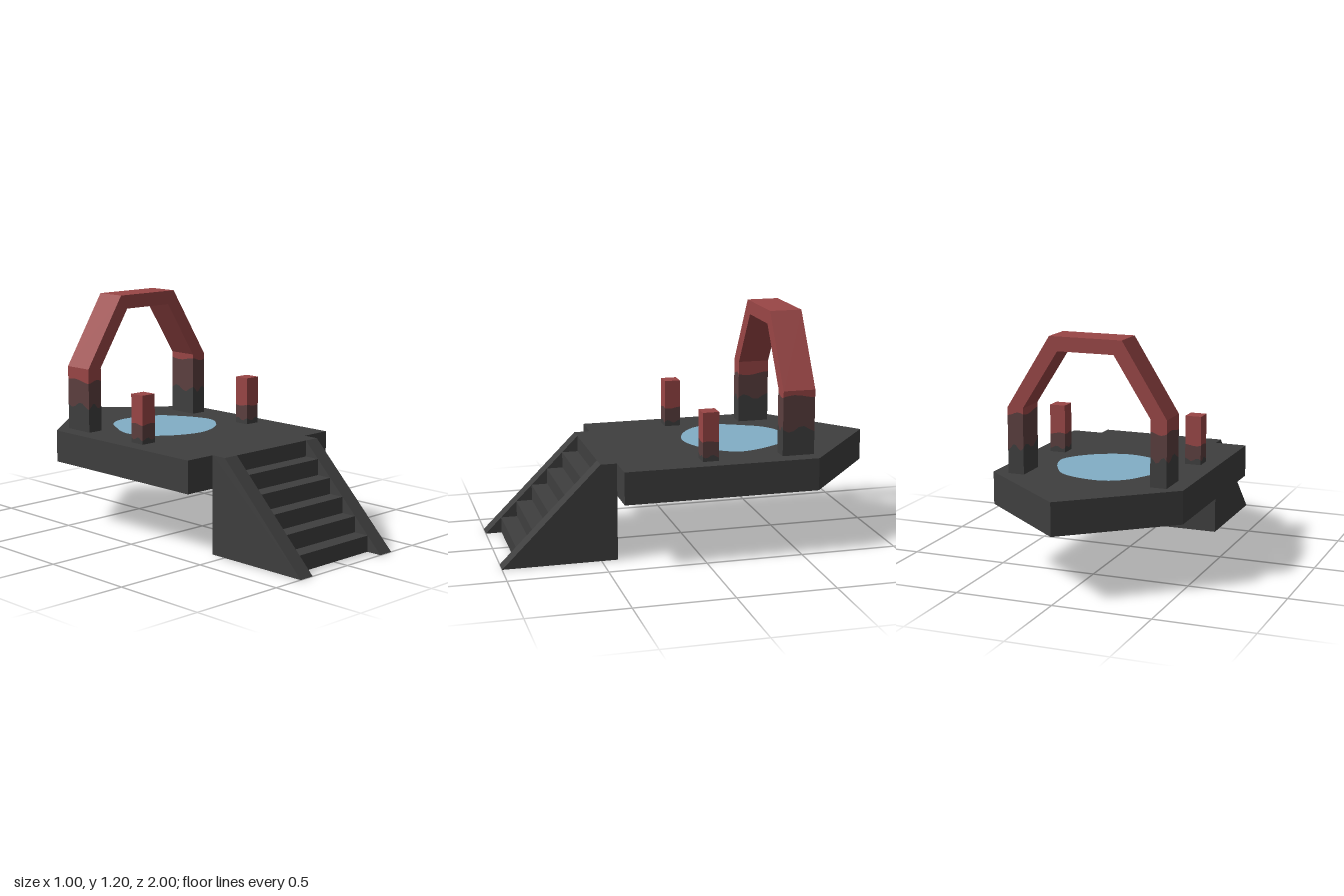
import * as THREE from 'three';

const mat = (name, color) => {
  const m = new THREE.MeshStandardMaterial({ color, side: THREE.DoubleSide });
  m.name = name;
  return m;
};

// Flat-shaded geometry from a list of quads (each four [x, y, z] corners)
function quads(list) {
  const p = [];
  for (const [a, b, c, d] of list) p.push(...a, ...b, ...c, ...a, ...c, ...d);
  const g = new THREE.BufferGeometry();
  g.setAttribute('position', new THREE.Float32BufferAttribute(p, 3));
  g.computeVertexNormals();
  return g;
}

const shapeOf = (pts) => new THREE.Shape(pts.map(([x, y]) => new THREE.Vector2(x, y)));

// Sheet that follows a [z, y] profile between two x values
const sheet = (prof, x0, x1) => quads(prof.slice(1).map(([z, y], i) => {
  const [pz, py] = prof[i];
  return [[x0, py, pz], [x1, py, pz], [x1, y, z], [x0, y, z]];
}));

// Flat panel in the z-y plane at a given x
const panel = (pts, x) => new THREE.ShapeGeometry(shapeOf(pts)).rotateY(-Math.PI / 2).translate(x, 0, 0);

export function createModel() {
  const root = new THREE.Group();
  const stone = mat('dark stone', 0x3f3f3f);
  const red = mat('faded red', 0x9a4646);
  const brown = mat('stained red', 0x5c3f3f);
  const water = mat('pale blue water', 0x82aec6);
  const U = 1 / 12;

  const add = (parent, name, geo, material) => {
    const m = new THREE.Mesh(geo, material);
    m.name = name;
    parent.add(m);
    return m;
  };
  const group = (name) => {
    const g = new THREE.Group();
    g.name = name;
    root.add(g);
    return g;
  };

  // Pointed platform slab
  const deck = new THREE.ExtrudeGeometry(
    shapeOf([[-0.5, -5 * U], [0.5, -5 * U], [0.5, 7 * U], [0, 1], [-0.5, 7 * U]]),
    { depth: 2 * U, bevelEnabled: false });
  deck.rotateX(-Math.PI / 2).translate(0, 4 * U, 0);
  add(root, 'platform', deck, stone);

  // Pool of water, a thin irregular oval
  const outline = [[0, -0.01], [0.13, -0.05], [0.23, -0.13], [0.285, -0.23], [0.262, -0.34],
    [0.222, -0.42], [0.165, -0.5], [0.06, -0.55], [-0.08, -0.56], [-0.18, -0.5], [-0.235, -0.41],
    [-0.28, -0.32], [-0.295, -0.24], [-0.25, -0.13], [-0.14, -0.045]];
  const curve = new THREE.CatmullRomCurve3(outline.map(([x, z]) => new THREE.Vector3(x, -z, 0)), true);
  const pool = new THREE.ShapeGeometry(new THREE.Shape(curve.getPoints(60).slice(0, 60).map((p) => new THREE.Vector2(p.x, p.y))));
  add(root, 'pool', pool.rotateX(-Math.PI / 2).translate(0, 0.503, 0), water);

  // Staircase shell, open underneath
  const stairs = group('staircase');
  const steps = [[11 * U, 0]];
  for (let i = 1; i <= 6; i++) steps.push([(12 - i) * U, i * U], [(i < 6 ? 11 - i : 5) * U, i * U]);
  add(stairs, 'steps', sheet(steps, -3 * U, 3 * U), stone);
  add(stairs, 'stairBack', sheet([[5 * U, 0], [5 * U, 4 * U]], -4 * U, 4 * U), stone);
  for (const s of [-1, 1]) {
    add(stairs, 'stringerTop', sheet([[1, 0], [0.5, 0.5], [5 * U, 0.5]], s * 3 * U, s * 4 * U), stone);
    add(stairs, 'stringerOuterSide', panel([[1, 0], [0.5, 0.5], [5 * U, 0.5], [5 * U, 0]], s * 4 * U), stone);
    for (let i = 0; i < 6; i++) {
      const z = (12 - i) * U, y = i * U;
      add(stairs, 'stringerInnerSide', panel([[z, y], [z - U, y + U], [z - U, y]], s * 3 * U), stone);
    }
  }

  // Square pillar in three colour bands with slightly wavy borders
  function pillar(parent, name, x, z, w, d, top, stoneTop, stainTop, wave) {
    const n = 6, ring = [];
    const c = [[-1, 1], [1, 1], [1, -1], [-1, -1]];
    for (let k = 0; k < 4; k++) {
      const a = c[k], b = c[(k + 1) % 4];
      for (let j = 0; j < n; j++) {
        const t = j / n;
        ring.push([x + (a[0] + (b[0] - a[0]) * t) * w / 2, z + (a[1] + (b[1] - a[1]) * t) * d / 2]);
      }
    }
    const N = ring.length;
    const wavy = (level, amp, f) => (i) => level + amp * Math.sin(2 * Math.PI * f * i / N + x * 4);
    const levels = [() => 0.5, wavy(stoneTop, wave, 5), wavy(stainTop, wave * 0.5, 3), () => top];
    [stone, brown, red].forEach((m, b) => {
      const list = ring.map(([px, pz], i) => {
        const j = (i + 1) % N, [qx, qz] = ring[j];
        const lo = levels[b], hi = levels[b + 1];
        return [[px, lo(i), pz], [qx, lo(j), qz], [qx, hi(j), qz], [px, hi(i), pz]];
      });
      add(parent, name + ['Base', 'Middle', 'Top'][b], quads(list), m);
    });
  }

  // Short front posts and the two arch legs
  const arch = group('arch');
  for (const s of [-1, 1]) {
    const post = group(s > 0 ? 'leftPost' : 'rightPost');
    pillar(post, 'post', s * 4.5 * U, -0.5 * U, U, U, 0.75, 0.525, 0.6, 0.008);
    const cap = new THREE.PlaneGeometry(U, U).rotateX(-Math.PI / 2);
    add(post, 'postCap', cap.translate(s * 4.5 * U, 0.75, -0.5 * U), red);
    pillar(arch, 'archLeg', s * 4.5 * U, -6 * U, U, 2 * U, 10 * U, 0.635, s > 0 ? 0.803 : 0.765, 0.016);
  }

  // Angled upper part of the arch
  const span = new THREE.ExtrudeGeometry(
    shapeOf([[5 * U, 10 * U], [0.188, 1.2], [-0.188, 1.2], [-5 * U, 10 * U],
      [-4 * U, 10 * U], [-0.146, 1.128], [0.146, 1.128], [4 * U, 10 * U]]),
    { depth: 2 * U, bevelEnabled: false });
  add(arch, 'archSpan', span.translate(0, 0, -7 * U), red);

  return root;
}
